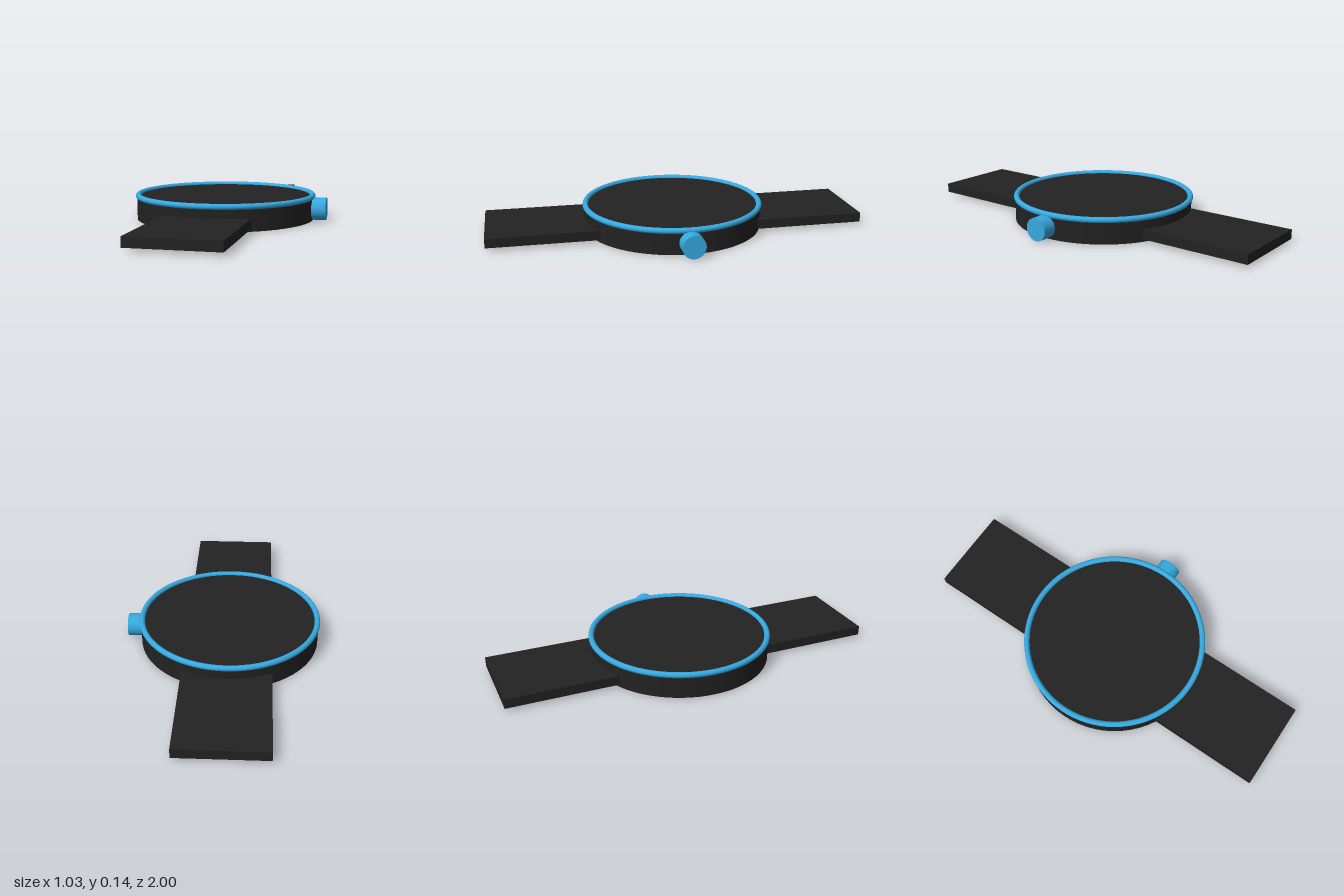
import * as THREE from 'three';

export function createModel() {
  const group = new THREE.Group();
  const black = new THREE.MeshStandardMaterial({ color: 0x222222 });
  black.name = 'black';
  const blue = new THREE.MeshStandardMaterial({ color: 0x36a9e0 });
  blue.name = 'blue';

  const CX = -0.031; // the case sits off centre because of the crown
  const H = 0.124;   // case height

  const add = (name, geometry, material, x, y, z) => {
    const mesh = new THREE.Mesh(geometry, material);
    mesh.name = name;
    mesh.position.set(x, y, z);
    group.add(mesh);
    return mesh;
  };

  // Round case with its flat face
  add('case', new THREE.CylinderGeometry(0.477, 0.477, H, 64), black, CX, H / 2, 0);

  // Bezel ring around the top edge
  add('bezel', new THREE.TorusGeometry(0.47, 0.015, 16, 96), blue, CX, H, 0).rotation.x = Math.PI / 2;

  // Crown on the left side, reaching into the case
  add('crown', new THREE.CylinderGeometry(0.06, 0.06, 0.12, 32), blue, 0.457, H / 2, 0).rotation.z = -Math.PI / 2;

  // Straps at front and back, tucked into the case
  for (const [name, side] of [['frontStrap', 1], ['backStrap', -1]]) {
    add(name, new THREE.BoxGeometry(0.456, 0.05, 0.6), black, CX, 0.04, side * 0.7);
  }

  return group;
}
